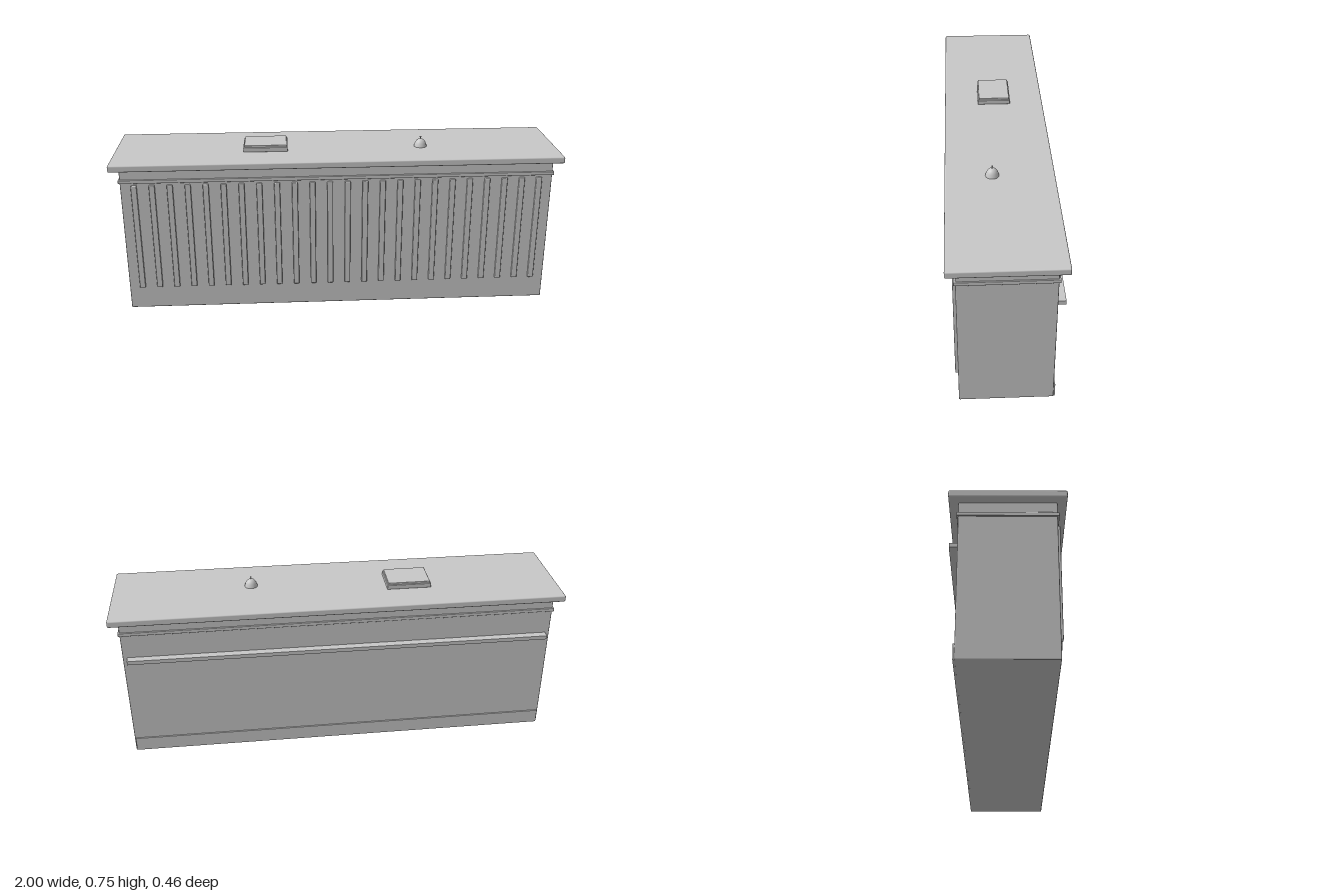
import * as THREE from 'three';
import { RoundedBoxGeometry } from 'three/addons/geometries/RoundedBoxGeometry.js';

export function createModel() {
  const group = new THREE.Group();
  const grey = new THREE.MeshStandardMaterial({ color: 0xc8c8c8 });
  grey.name = 'plainGrey';

  function add(name, geometry, x, y, z) {
    const mesh = new THREE.Mesh(geometry, grey);
    mesh.name = name;
    mesh.position.set(x, y, z);
    group.add(mesh);
    return mesh;
  }

  // Softly rounded box given by its lower and upper limits on each axis
  function block(name, [x0, x1], [y0, y1], [z0, z1], radius) {
    const geometry = new RoundedBoxGeometry(x1 - x0, y1 - y0, z1 - z0, 2, radius);
    return add(name, geometry, (x0 + x1) / 2, (y0 + y1) / 2, (z0 + z1) / 2);
  }

  // Cabinet, trim band and overhanging top
  block('counterBody', [-0.96, 0.96], [0, 0.676], [-0.192, 0.192], 0.004);
  block('trimBand', [-0.966, 0.966], [0.612, 0.628], [-0.198, 0.199], 0.002);
  block('counterTop', [-1, 1], [0.676, 0.706], [-0.23, 0.23], 0.006);

  // Vertical slats along the front
  const slatCount = 24;
  for (let i = 0; i < slatCount; i++) {
    const x = -0.9 + (1.8 * i) / (slatCount - 1);
    block('frontSlat', [x - 0.013, x + 0.013], [0.105, 0.603], [0.19, 0.204], 0.004);
  }

  // Rail and kick plate on the back
  add('backRail', new THREE.BoxGeometry(1.88, 0.018, 0.036), 0, 0.493, -0.207);
  add('kickPlate', new THREE.BoxGeometry(1.91, 0.065, 0.008), 0, 0.0325, -0.194);

  // Low stepped box on the top
  block('trayBase', [-0.422, -0.223], [0.705, 0.726], [-0.077, 0.075], 0.003);
  block('trayLid', [-0.417, -0.228], [0.724, 0.735], [-0.072, 0.07], 0.002);

  // Service bell: flared dome with a small push button
  const profile = [
    [0.029, 0], [0.029, 0.002], [0.027, 0.008], [0.0245, 0.016], [0.021, 0.023],
    [0.016, 0.029], [0.01, 0.033], [0.004, 0.035], [0, 0.0355],
  ].map(([r, y]) => new THREE.Vector2(r, y));
  add('bellDome', new THREE.LatheGeometry(profile, 28), 0.383, 0.706, 0.032);
  add('bellStem', new THREE.CylinderGeometry(0.002, 0.002, 0.012, 12), 0.383, 0.745, 0.032);
  add('bellButton', new THREE.CylinderGeometry(0.004, 0.0035, 0.003, 14), 0.383, 0.7505, 0.032);

  return group;
}
